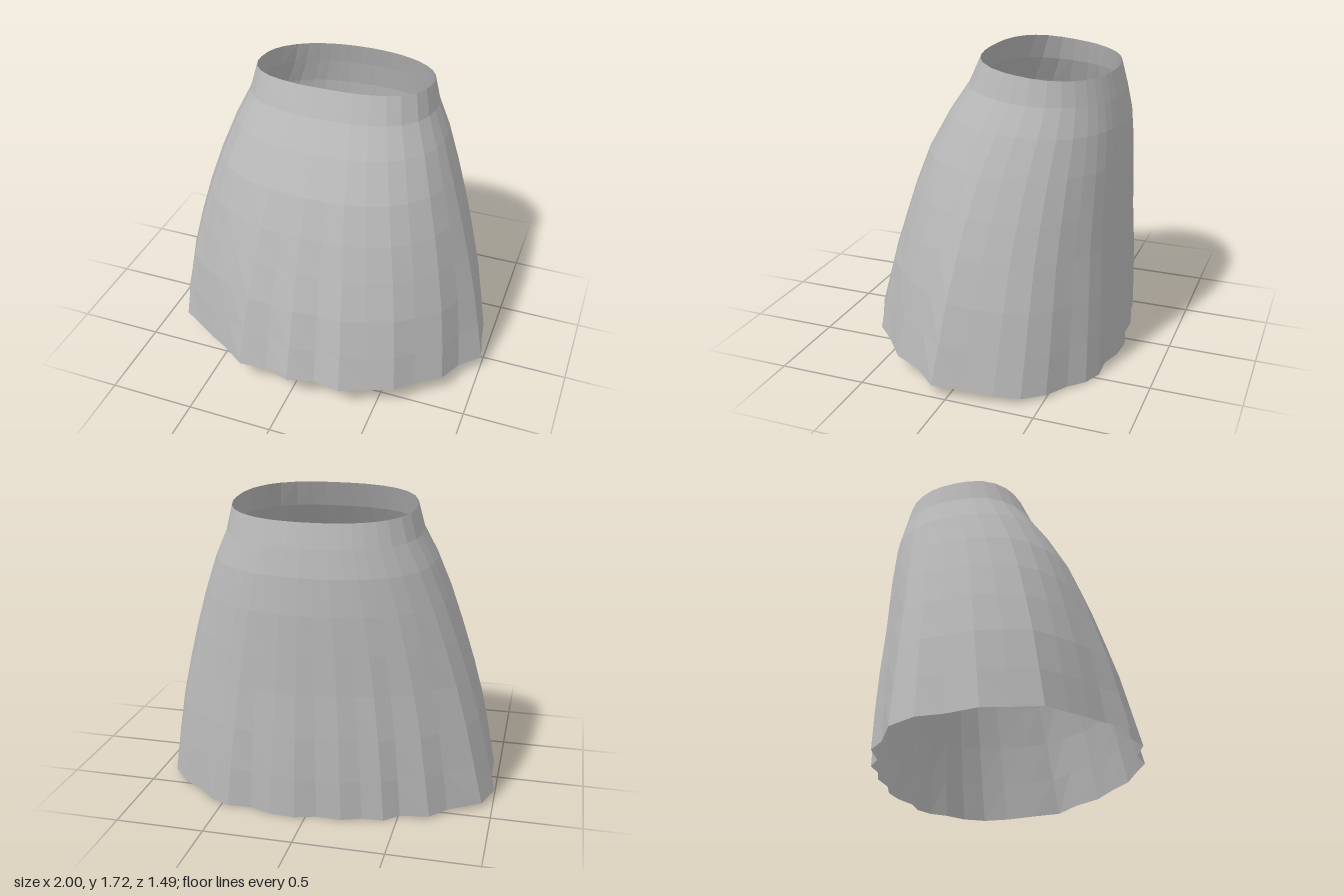
import * as THREE from 'three';

// Rings from waist to hem: front y, front z, back y, back z, half width
const RINGS = [
  [1.73, 0.10, 1.65, -0.62, 0.51],
  [1.58, 0.17, 1.52, -0.655, 0.545],
  [1.42, 0.28, 1.37, -0.685, 0.62],
  [1.21, 0.40, 1.17, -0.70, 0.70],
  [1.00, 0.485, 0.95, -0.705, 0.775],
  [0.80, 0.555, 0.73, -0.71, 0.84],
  [0.58, 0.63, 0.48, -0.725, 0.905],
  [0.36, 0.69, 0.24, -0.735, 0.955],
  [0.16, 0.745, 0.01, -0.74, 1.0],
];

// Pleated hem outline (x, z), from the front round by +x
const HEM = [
  [0, 0.74], [0.15, 0.69], [0.31, 0.715], [0.45, 0.645], [0.60, 0.58], [0.69, 0.48],
  [0.83, 0.36], [0.89, 0.21], [1.0, 0.08], [0.965, -0.08], [0.94, -0.25], [0.89, -0.39],
  [0.79, -0.50], [0.66, -0.575], [0.57, -0.655], [0.46, -0.70], [0.33, -0.695], [0.20, -0.735],
  [0.06, -0.745], [-0.06, -0.71], [-0.20, -0.715], [-0.31, -0.675], [-0.43, -0.67], [-0.51, -0.605],
  [-0.67, -0.58], [-0.76, -0.49], [-0.94, -0.39], [-1.0, -0.24], [-0.97, -0.10], [-0.97, 0.07],
  [-0.90, 0.21], [-0.83, 0.36], [-0.69, 0.45], [-0.57, 0.53], [-0.45, 0.60], [-0.31, 0.705],
  [-0.15, 0.69],
];

// Smooth rounded oval point for a ring at a given angle
function ovalPoint(ring, t, angle) {
  const [, zFront, , zBack, halfWidth] = ring;
  const s = Math.sin(angle), c = Math.cos(angle);
  const n = c > 0 ? 2.6 - 0.6 * t : 2.2 + 0.2 * t;
  const r = Math.pow(Math.abs(s) ** n + Math.abs(c) ** n, -1 / n);
  return [halfWidth * r * s, (zFront + zBack) / 2 + (zFront - zBack) / 2 * r * c];
}

function skirtGeometry() {
  const last = RINGS.length - 1, cols = HEM.length;
  const positions = [], index = [];
  RINGS.forEach((ring, i) => {
    const t = i / last;
    const fold = Math.pow(t, 2.2); // pleats deepen towards the hem
    for (const [hx, hz] of HEM) {
      const angle = Math.atan2(hx, hz / 0.743);
      const [ox, oz] = ovalPoint(RINGS[last], 1, angle);
      const [x, z] = ovalPoint(ring, t, angle);
      const pz = z + (hz - oz) * fold;
      const k = THREE.MathUtils.clamp((pz - ring[3]) / (ring[1] - ring[3]), 0, 1);
      const y = ring[2] + (ring[0] - ring[2]) * Math.pow(k, 1.25);
      positions.push(x + (hx - ox) * fold, y, pz);
    }
  });
  for (let i = 0; i < last; i++) {
    for (let j = 0; j < cols; j++) {
      const a = i * cols + j, b = i * cols + (j + 1) % cols;
      const c = a + cols, d = b + cols;
      index.push(a, c, d, a, d, b);
    }
  }
  const geometry = new THREE.BufferGeometry();
  geometry.setAttribute('position', new THREE.Float32BufferAttribute(positions, 3));
  geometry.setIndex(index);
  const faceted = geometry.toNonIndexed();
  faceted.computeVertexNormals();
  return faceted;
}

export function createModel() {
  const group = new THREE.Group();
  group.name = 'skirt';
  const cloth = new THREE.MeshStandardMaterial({
    color: 0xb8b8b8, flatShading: true, side: THREE.DoubleSide,
  });
  cloth.name = 'grey cloth';
  const skirt = new THREE.Mesh(skirtGeometry(), cloth);
  skirt.name = 'pleatedSkirt';
  group.add(skirt);
  return group;
}
